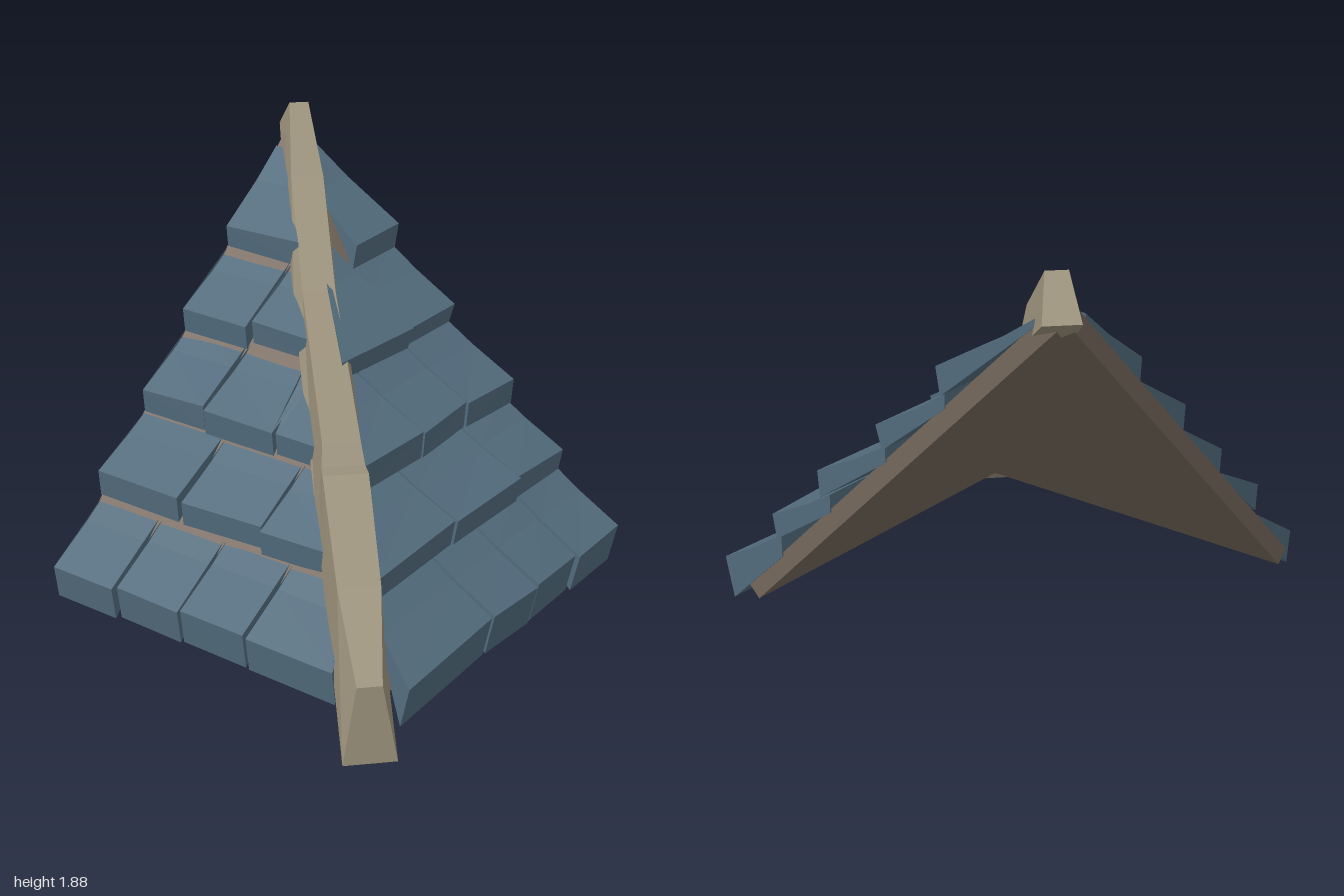
import * as THREE from 'three';

const slate = new THREE.MeshStandardMaterial({ color: 0x526b7c });
slate.name = 'slateBlue';
const ridgeWood = new THREE.MeshStandardMaterial({ color: 0x9a907a });
ridgeWood.name = 'paleWood';
const deckWood = new THREE.MeshStandardMaterial({ color: 0x74675b });
deckWood.name = 'darkWood';

// Joins equal-sized rings of [x, y, z] points into a closed, faceted solid
function loft(rings) {
  const tris = [];
  const n = rings[0].length;
  for (let r = 0; r + 1 < rings.length; r++) {
    for (let i = 0; i < n; i++) {
      const j = (i + 1) % n;
      const [a, b, c, d] = [rings[r][i], rings[r][j], rings[r + 1][j], rings[r + 1][i]];
      tris.push([a, b, c], [a, c, d]);
    }
  }
  const last = rings[rings.length - 1];
  for (let i = 1; i + 1 < n; i++) {
    tris.push([rings[0][0], rings[0][i + 1], rings[0][i]], [last[0], last[i], last[i + 1]]);
  }
  // Turn every face outward, whichever way the rings run
  let volume = 0;
  for (const [a, b, c] of tris) {
    volume += new THREE.Vector3(...a).dot(new THREE.Vector3(...b).cross(new THREE.Vector3(...c)));
  }
  if (volume < 0) tris.forEach((t) => t.reverse());
  const geometry = new THREE.BufferGeometry();
  geometry.setAttribute('position', new THREE.Float32BufferAttribute(tris.flat(2), 3));
  geometry.computeVertexNormals();
  return geometry;
}

// Slope coordinates: u along the eave, w outward. The side slope mirrors the front one.
const frontPoint = (u, y, w) => [u, y, w];
const sidePoint = (u, y, w) => [-w, y, -u];

// Each row: lip top [w, y], lip bottom [w, y], and the joints along u from the hip outward
const frontRows = [
  { top: [0.92, 0.27], low: [0.88, 0.09], joints: [-0.77, -0.145, 0.18, 0.515, 0.86] },
  { top: [0.64, 0.56], low: [0.62, 0.45], joints: [-0.6, -0.01, 0.48, 0.86] },
  { top: [0.36, 0.83], low: [0.35, 0.71], joints: [-0.35, 0.15, 0.505, 0.86] },
  { top: [0.06, 1.1], low: [0.03, 1.0], joints: [0, 0.515, 0.86], hipRear: [-0.42, 1.42] },
  { top: [-0.24, 1.4], low: [-0.26, 1.29], joints: [0.515, 0.86] },
];
const sideRows = [
  { top: [0.83, 0.26], low: [0.81, 0.11], joints: [-0.64, -0.2, 0.14, 0.48, 0.82] },
  { top: [0.53, 0.57], low: [0.52, 0.46], joints: [-0.5, -0.05, 0.37, 0.82] },
  { top: [0.25, 0.85], low: [0.24, 0.74], joints: [-0.2, 0.1, 0.47, 0.82] },
  { top: [-0.05, 1.14], low: [-0.06, 1.03], joints: [0.1, 0.46, 0.82] },
  { top: [-0.34, 1.43], low: [-0.35, 1.32], joints: [0.4, 0.82] },
];

function buildTiles(rows, place, name, random) {
  const group = new THREE.Group();
  group.name = name;
  const vary = (amount) => (random() - 0.5) * amount;
  rows.forEach((row, r) => {
    const next = rows[r + 1];
    for (let k = 0; k + 1 < row.joints.length; k++) {
      let rear = next ? [next.top[0] - 0.05, next.low[1] + 0.02] : [-0.71, 1.7];
      if (k === 0 && row.hipRear) rear = row.hipRear;
      // Wedge outline of one edge, cut back along the hip
      const edge = (u) => {
        const dw = vary(0.03);
        const dy = vary(0.025);
        const top = [row.top[0] + dw, row.top[1] + dy];
        const low = [row.low[0] + dw, row.low[1] + dy * 0.5];
        const mid = [
          THREE.MathUtils.lerp(top[0], rear[0], 0.6),
          THREE.MathUtils.lerp(top[1], rear[1], 0.56),
        ];
        const base = [rear[0], 0.96 - rear[0]];
        return [base, low, top, mid, rear].map(([w, y]) => place(Math.max(u, 0.07 - w), y, w));
      };
      const inner = edge(row.joints[k] + 0.006 + random() * 0.008);
      const outer = edge(row.joints[k + 1] - 0.004);
      const tile = new THREE.Mesh(loft([inner, outer]), slate);
      tile.name = `${name}Row${r + 1}Tile${k + 1}`;
      group.add(tile);
    }
  });
  return group;
}

// Thin sloping board under the tiles
function buildDeck(place, name, end) {
  const upper = [[-0.8, 0.18, 0.8], [end, 0.18, 0.8], [end, 1.79, -0.82], [0.82, 1.79, -0.82]];
  const lower = [[-0.75, 0.125, 0.745], [end, 0.125, 0.745], [end, 1.69, -0.82], [0.82, 1.69, -0.82]];
  const rings = [upper, lower].map((ring) => ring.map((p) => place(...p)));
  const deck = new THREE.Mesh(loft(rings), deckWood);
  deck.name = name;
  return deck;
}

// Worn beam along the hip, with a small step in its top
function buildHipBeam() {
  // top x, top y, top half width, bottom x, bottom y, bottom half width
  const sections = [
    [-0.9, 0.315, 0.035, -0.925, 0, 0.075],
    [-0.68, 0.57, 0.06, -0.7, 0.23, 0.075],
    [-0.385, 0.845, 0.065, -0.4, 0.53, 0.075],
    [-0.33, 0.845, 0.062, -0.34, 0.59, 0.075],
    [-0.29, 0.92, 0.055, -0.29, 0.64, 0.075],
    [0.27, 1.27, 0.05, 0.28, 1.2, 0.075],
    [0.585, 1.64, 0.05, 0.62, 1.5, 0.065],
    [0.825, 1.88, 0.03, 0.95, 1.74, 0.05],
  ];
  const rings = sections.map(([tx, ty, th, bx, by, bh]) => [
    [bx - bh, by, -0.94 * bx - bh],
    [tx - th, ty, -0.94 * tx - th],
    [tx + th, ty, -0.94 * tx + th],
    [bx + bh, by, -0.94 * bx + bh],
  ]);
  const beam = new THREE.Mesh(loft(rings), ridgeWood);
  beam.name = 'hipBeam';
  return beam;
}

export function createModel() {
  let seed = 7;
  const random = () => {
    seed = (seed * 16807) % 2147483647;
    return seed / 2147483647;
  };
  const model = new THREE.Group();
  model.name = 'hipRoofCorner';
  model.add(
    buildDeck(frontPoint, 'frontDeck', 0.85),
    buildDeck(sidePoint, 'sideDeck', 0.82),
    buildTiles(frontRows, frontPoint, 'frontTiles', random),
    buildTiles(sideRows, sidePoint, 'sideTiles', random),
    buildHipBeam(),
  );
  return model;
}
